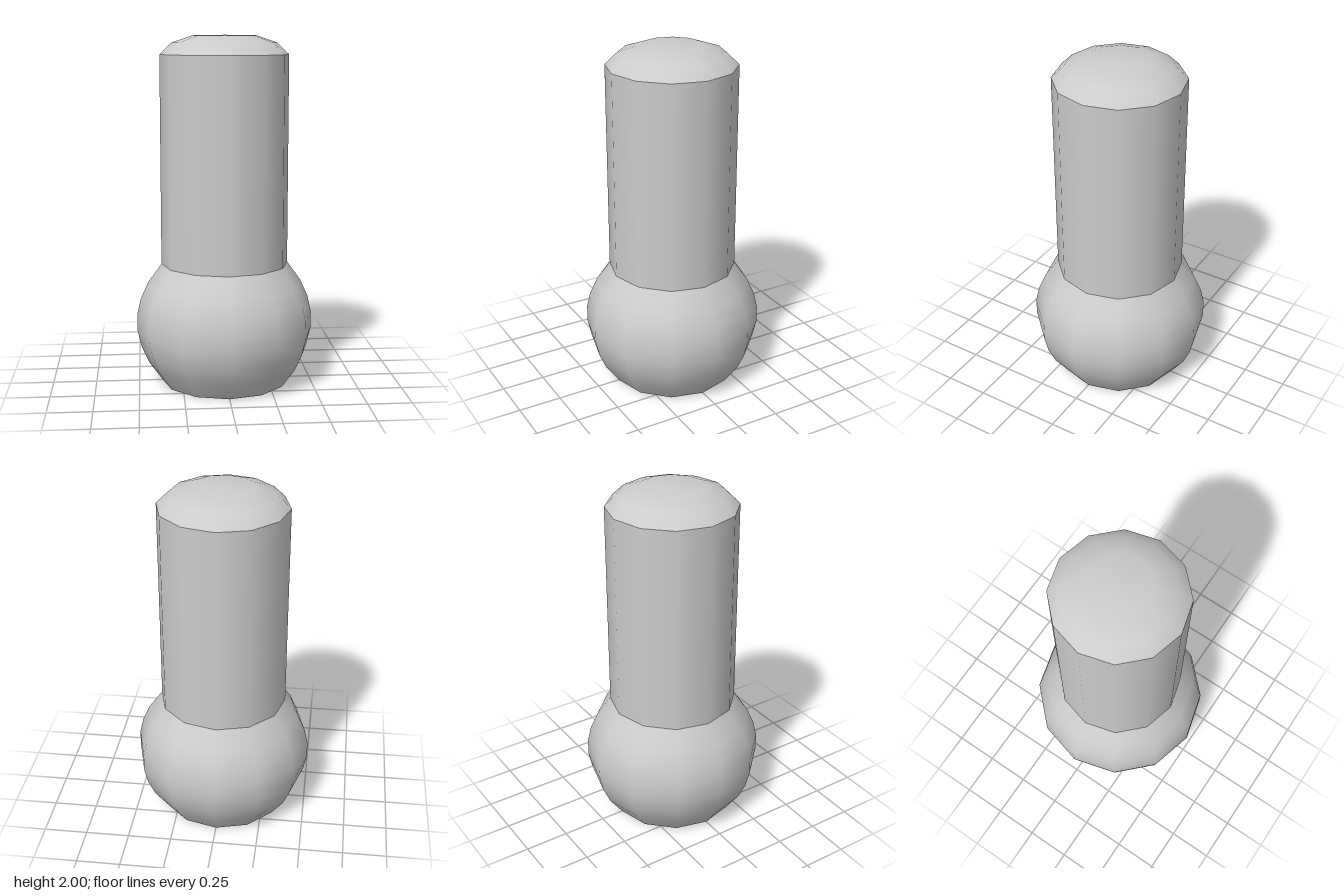
import * as THREE from 'three';

const SIDES = 12;

export function createModel() {
  const group = new THREE.Group();
  const material = new THREE.MeshStandardMaterial({ color: 0xcccccc });

  // Turned part from [radius, height] pairs, listed bottom to top
  const turned = (name, profile) => {
    const points = profile.map(([r, y]) => new THREE.Vector2(r, y));
    const mesh = new THREE.Mesh(new THREE.LatheGeometry(points, SIDES), material);
    mesh.name = name;
    group.add(mesh);
  };

  // Flat underside
  turned('base', [[0, 0], [0.365, 0]]);

  // Bulbous foot
  turned('bulb', [
    [0.365, 0], [0.444, 0.11], [0.487, 0.207], [0.508, 0.3],
    [0.508, 0.4], [0.487, 0.491], [0.444, 0.588], [0.365, 0.698],
  ]);

  // Straight shaft
  turned('shaft', [[0.365, 0.698], [0.365, 1.892]]);

  // Shallow domed cap
  turned('cap', [[0.365, 1.892], [0.297, 1.957], [0.18, 1.997], [0, 2]]);

  return group;
}
